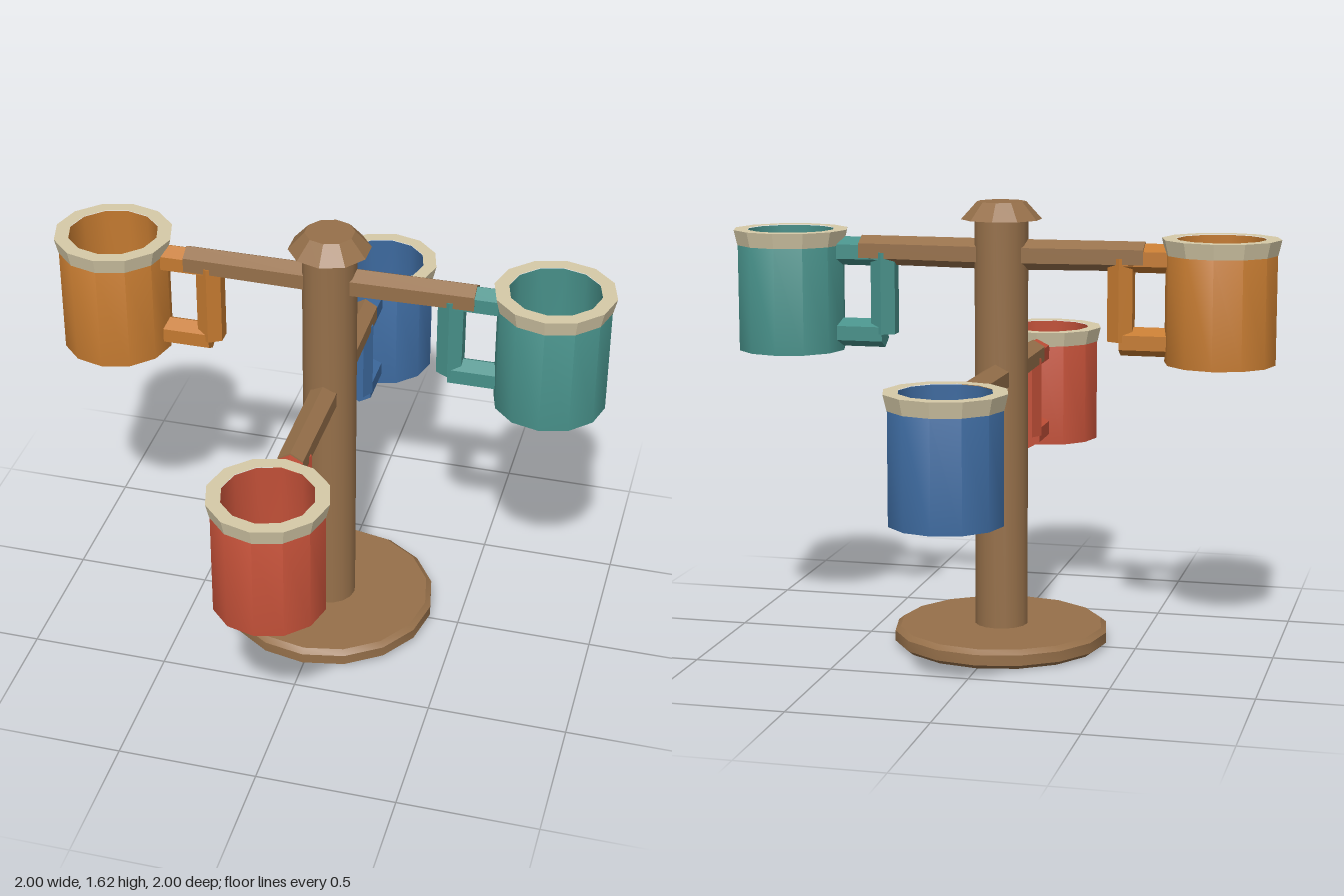
import * as THREE from 'three';
import { toCreasedNormals } from 'three/addons/utils/BufferGeometryUtils.js';

const material = (name, color) => Object.assign(new THREE.MeshStandardMaterial({ color }), { name });

// Turned part from [radius, y] pairs; edges sharper than the crease angle stay crisp
function turned(name, profile, sides, mat, crease) {
  const points = profile.map(([r, y]) => new THREE.Vector2(r, y));
  const mesh = new THREE.Mesh(toCreasedNormals(new THREE.LatheGeometry(points, sides), crease), mat);
  mesh.name = name;
  return mesh;
}

// Six-sided bar between two points lying in the plane z = 0
function hexBar(name, from, to, r0, r1, mat) {
  const a = new THREE.Vector3(from[0], from[1], 0);
  const b = new THREE.Vector3(to[0], to[1], 0);
  const dir = b.clone().sub(a);
  const geometry = new THREE.CylinderGeometry(r1, r0, dir.length(), 6);
  // level bars carry a ridge on top, upright bars a ridge on each side
  if (Math.abs(dir.x) > Math.abs(dir.y)) geometry.rotateY(Math.PI / 2);
  const mesh = new THREE.Mesh(toCreasedNormals(geometry, 0.3), mat);
  mesh.name = name;
  mesh.position.copy(a).add(b).multiplyScalar(0.5);
  mesh.quaternion.setFromUnitVectors(new THREE.Vector3(0, 1, 0), dir.normalize());
  return mesh;
}

// Mug with its handle toward the post, built along +x; y = 0 is its underside
function makeMug(name, glaze, cream) {
  const mug = new THREE.Group();
  mug.name = name;
  const x = 0.789;
  const body = turned('mugBody', [
    [0, 0], [0.197, 0], [0.197, 0.385], [0.16, 0.438], [0.16, 0.03], [0, 0.03],
  ], 12, glaze, 0.6);
  const rim = turned('mugRim', [
    [0.16, 0.385], [0.198, 0.385], [0.211, 0.44], [0.16, 0.44],
  ], 12, cream, 0.3);
  body.position.x = rim.position.x = x;
  // start on the mug wall without poking through to the inside
  const wall = x - 0.18, grip = 0.435;
  mug.add(
    body, rim,
    hexBar('handleTop', [wall, 0.365], [grip, 0.365], 0.052, 0.052, glaze),
    hexBar('handleGrip', [grip, 0.365], [grip, 0.068], 0.052, 0.052, glaze),
    hexBar('handleBottom', [wall, 0.068], [grip, 0.068], 0.052, 0.052, glaze),
  );
  return mug;
}

export function createModel() {
  const model = new THREE.Group();
  model.name = 'mugTree';
  const wood = material('wood', 0x96704a);
  const cream = material('cream', 0xd6caa8);

  // Stand
  model.add(
    turned('base', [
      [0, 0], [0.372, 0], [0.392, 0.016], [0.392, 0.054], [0.372, 0.07], [0, 0.07],
    ], 16, wood, 0.6),
    turned('post', [[0, 0.05], [0.097, 0.05], [0.097, 1.57], [0, 1.57]], 16, wood, 0.6),
    turned('cap', [[0, 1.552], [0.145, 1.552], [0.088, 1.615], [0, 1.615]], 10, wood, 0.3),
  );

  // Four pegs with hanging mugs: the side pair high, the front and back pair low
  const spots = [
    ['leftMug', 0, 1.06, material('teal', 0x479089)],
    ['backMug', Math.PI / 2, 0.62, material('blue', 0x3d6a9f)],
    ['rightMug', Math.PI, 1.06, material('orange', 0xc47a30)],
    ['frontMug', -Math.PI / 2, 0.62, material('red', 0xc25038)],
  ];
  for (const [name, angle, y, glaze] of spots) {
    const branch = new THREE.Group();
    branch.name = name + 'Branch';
    branch.rotation.y = angle;
    branch.position.y = y;
    branch.add(
      hexBar('peg', [0.03, 0.367], [0.52, 0.371], 0.055, 0.0525, wood),
      makeMug(name, glaze, cream),
    );
    model.add(branch);
  }
  return model;
}
